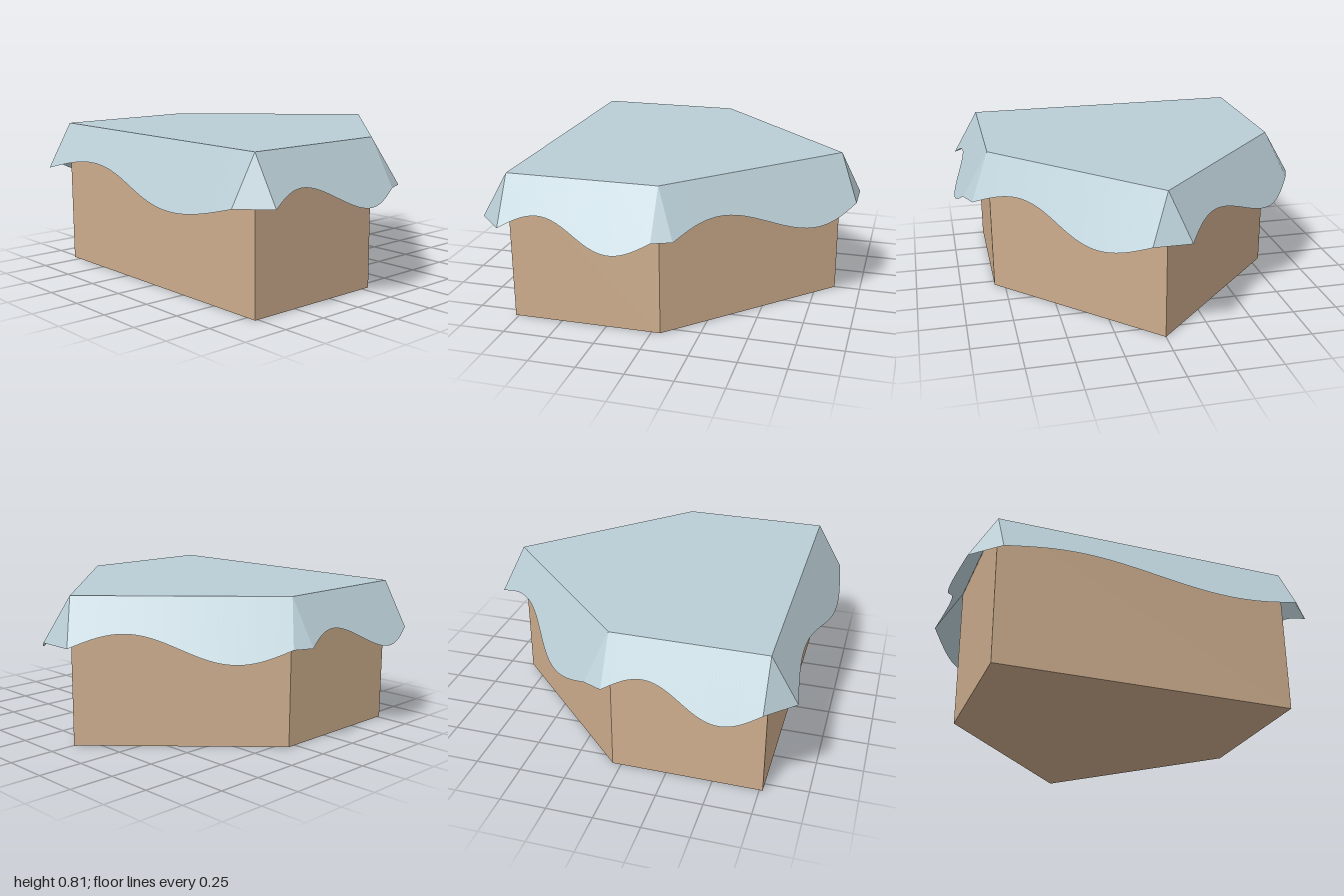
import * as THREE from 'three';

const TOP = 0.81, DROP = 0.25, WAVE = 0.07, FLARE = 0.145 / 0.25, STEPS = 48;

// Plan corners [x, z], running from front left of the sheet round past +x
const CORNERS = [[-0.808, 0.768], [0.808, 0.768], [0.808, -0.047], [0, -0.857], [-0.808, -0.047]];

function planShape() {
  return new THREE.Shape(CORNERS.map(([x, z]) => new THREE.Vector2(x, -z)));
}

function surface(positions, index) {
  const g = new THREE.BufferGeometry();
  g.setAttribute('position', new THREE.Float32BufferAttribute(positions, 3));
  g.setIndex(index);
  g.computeVertexNormals();
  return g;
}

// Outward direction of the side that starts at corner i
function outward(i) {
  const [ax, az] = CORNERS[i], [bx, bz] = CORNERS[(i + 1) % CORNERS.length];
  const len = Math.hypot(bx - ax, bz - az);
  return [-(bz - az) / len, (bx - ax) / len];
}

// Point on the wavy hem of side i, at t from 0 to 1
function hem(i, t) {
  const a = CORNERS[i], b = CORNERS[(i + 1) % CORNERS.length], n = outward(i);
  const drop = DROP - WAVE * Math.sin(t * Math.PI * 2);
  const x = a[0] + (b[0] - a[0]) * t, z = a[1] + (b[1] - a[1]) * t;
  return { top: [x, TOP, z], low: [x + n[0] * drop * FLARE, TOP - drop, z + n[1] * drop * FLARE] };
}

// Slanted panel with a wavy lower edge
function panelGeometry(i) {
  const pos = [], index = [];
  for (let s = 0; s <= STEPS; s++) {
    const { top, low } = hem(i, s / STEPS);
    pos.push(...top, ...low);
    if (s < STEPS) {
      const k = s * 2;
      index.push(k, k + 1, k + 3, k, k + 3, k + 2);
    }
  }
  return surface(pos, index);
}

// Triangle closing the gap between two neighbouring panels
function cornerGeometry(i) {
  const prev = (i + CORNERS.length - 1) % CORNERS.length;
  const start = hem(i, 0);
  return surface([...start.top, ...hem(prev, 1).low, ...start.low], [0, 1, 2]);
}

export function createModel() {
  const model = new THREE.Group();
  model.name = 'coveredBlock';

  const tan = new THREE.MeshStandardMaterial({ color: 0xcdad8d });
  tan.name = 'tan';
  const paleBlue = new THREE.MeshStandardMaterial({ color: 0xb9cdd5, side: THREE.DoubleSide });
  paleBlue.name = 'paleBlue';

  const add = (name, geometry, material, parent) => {
    const mesh = new THREE.Mesh(geometry, material);
    mesh.name = name;
    parent.add(mesh);
  };

  // Five-sided body
  const body = new THREE.ExtrudeGeometry(planShape(), { depth: TOP - 0.005, bevelEnabled: false });
  add('body', body.rotateX(-Math.PI / 2), tan, model);

  // Cover: flat top, hanging panels and corner gussets
  const cover = new THREE.Group();
  cover.name = 'cover';
  model.add(cover);
  const lid = new THREE.ShapeGeometry(planShape()).rotateX(-Math.PI / 2).translate(0, TOP, 0);
  add('coverTop', lid, paleBlue, cover);
  CORNERS.forEach((_, i) => {
    add('skirtPanel' + (i + 1), panelGeometry(i), paleBlue, cover);
    add('skirtCorner' + (i + 1), cornerGeometry(i), paleBlue, cover);
  });

  return model;
}
